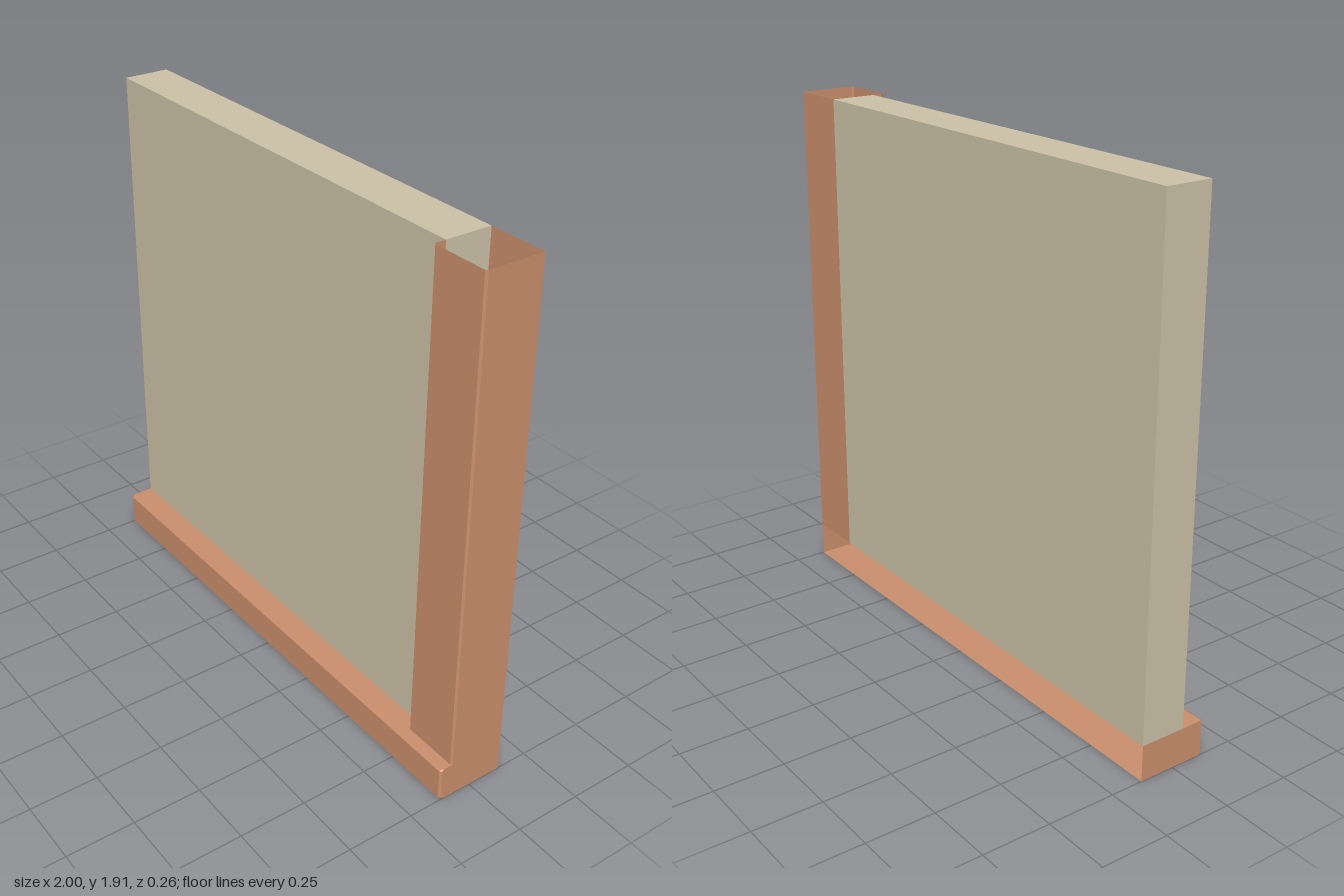
import * as THREE from 'three';

const trim = new THREE.MeshStandardMaterial({ color: 0xc98e6c, side: THREE.DoubleSide, flatShading: true });
const plaster = new THREE.MeshStandardMaterial({ color: 0xcac0a5, flatShading: true });

const BACK = -0.13, FRONT = 0.13, SILL = 0.13, TOP = 1.912;
const POST_X = 0.78, POST_Z = 0.085, PANEL_Z = 0.04, C = 0.007;

// Thin sheet through rows of equally many [x, y, z] points
function sheet(name, rows) {
  const pos = [];
  for (let r = 0; r < rows.length - 1; r++) {
    for (let i = 0; i < rows[r].length - 1; i++) {
      const a = rows[r][i], b = rows[r][i + 1], c = rows[r + 1][i + 1], d = rows[r + 1][i];
      pos.push(...a, ...b, ...c, ...a, ...c, ...d);
    }
  }
  const g = new THREE.BufferGeometry();
  g.setAttribute('position', new THREE.Float32BufferAttribute(pos, 3));
  g.computeVertexNormals();
  const mesh = new THREE.Mesh(g, trim);
  mesh.name = name;
  return mesh;
}

// Horizontal sheet from a plan outline of [x, z] points
function slab(name, outline, y, facesUp) {
  const shape = new THREE.Shape(outline.map(([x, z]) => new THREE.Vector2(x, facesUp ? -z : z)));
  const g = new THREE.ShapeGeometry(shape).rotateX(facesUp ? -Math.PI / 2 : Math.PI / 2);
  const mesh = new THREE.Mesh(g, trim);
  mesh.name = name;
  mesh.position.y = y;
  return mesh;
}

export function createModel() {
  const group = new THREE.Group();
  group.name = 'wallSection';

  // Wall panel, a closed box
  const panel = new THREE.Mesh(
    new THREE.BoxGeometry(POST_X + 1, TOP - SILL, PANEL_Z - BACK), plaster);
  panel.name = 'wallPanel';
  panel.position.set((POST_X - 1) / 2, (TOP + SILL) / 2, (PANEL_Z + BACK) / 2);
  group.add(panel);

  // Corner post: hollow, open at top and bottom, bevelled front corners
  const postPlan = [
    [POST_X, BACK], [1, BACK], [1, POST_Z - C], [1 - C, POST_Z],
    [POST_X + C, POST_Z], [POST_X, POST_Z - C], [POST_X, PANEL_Z],
  ];
  group.add(sheet('cornerPost', [TOP, SILL].map(y => postPlan.map(([x, z]) => [x, y, z]))));

  // Baseboard: ends and front with bevelled edges, open at the back
  const basePlan = z => [[-1, BACK], [-1, z - C], [-1 + C, z], [1 - C, z], [1, z - C], [1, BACK]];
  const rings = [[SILL, FRONT - C], [SILL - C, FRONT], [C, FRONT], [0, FRONT - C]];
  group.add(sheet('baseboardFace', rings.map(([y, z]) => basePlan(z).map(([x, pz]) => [x, y, pz]))));
  group.add(slab('baseboardBottom', basePlan(FRONT - C), 0, false));

  // Baseboard top: runs under the panel and passes in front of the hollow post
  const ledge = basePlan(FRONT - C).slice(0, 5);
  ledge.push([1, POST_Z], [POST_X, POST_Z], [POST_X, BACK]);
  group.add(slab('baseboardTop', ledge, SILL - 0.001, true));

  return group;
}
